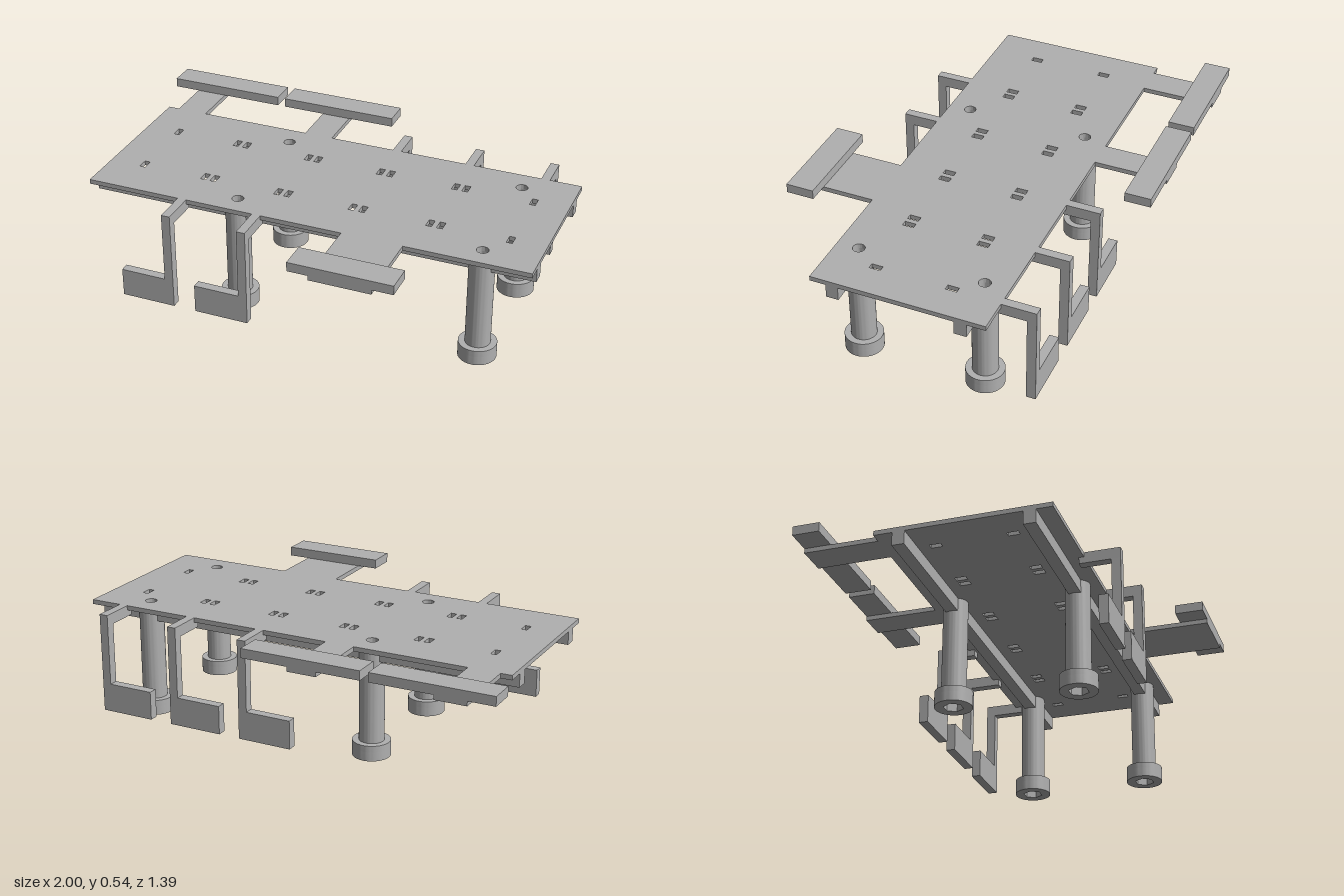
import * as THREE from 'three';
import { toCreasedNormals } from 'three/addons/utils/BufferGeometryUtils.js';

const BOTTOM = 0.478, TOP = 0.498; // faces of the main plate
const BOLT_X = [-0.29, 0.77], BOLT_Z = [0.261, -0.275];

export function createModel() {
  const model = new THREE.Group();
  const grey = new THREE.MeshStandardMaterial({ color: 0xb0b0b0 });
  grey.name = 'grey';

  const add = (name, geometry, parent = model) => {
    const mesh = new THREE.Mesh(geometry, grey);
    mesh.name = name;
    parent.add(mesh);
    return mesh;
  };

  // Box given by its limits on each axis
  const box = (name, x0, x1, y0, y1, z0, z1, parent) =>
    add(name, new THREE.BoxGeometry(x1 - x0, y1 - y0, z1 - z0), parent)
      .position.set((x0 + x1) / 2, (y0 + y1) / 2, (z0 + z1) / 2);

  // Shape drawn in x and -z, raised from y0 to y1
  const raise = (shape, y0, y1) => {
    const g = new THREE.ExtrudeGeometry(shape, { depth: y1 - y0, bevelEnabled: false, curveSegments: 32 });
    g.rotateX(-Math.PI / 2).translate(0, y0, 0);
    return toCreasedNormals(g, 0.6);
  };

  const rect = (x0, x1, z0, z1) => [[x0, -z0], [x0, -z1], [x1, -z1], [x1, -z0]]
    .map(([x, y]) => new THREE.Vector2(x, y));
  const circle = (r, x = 0, z = 0) => new THREE.Path().absarc(x, -z, r, 0, Math.PI * 2, true);
  const disc = (r, hole) => {
    const s = new THREE.Shape().absarc(0, 0, r, 0, Math.PI * 2, false);
    s.holes.push(hole);
    return s;
  };

  // Main plate with rows of slots and bolt holes
  const plate = new THREE.Shape(rect(-0.935, 1, -0.38, 0.355));
  const slots = [-0.783, -0.495, -0.45, -0.157, -0.112, 0.176, 0.222, 0.512, 0.558, 0.85];
  for (const z of [-0.176, 0.146])
    for (const x of slots)
      plate.holes.push(new THREE.Path(rect(x - 0.0125, x + 0.0125, z - 0.024, z + 0.024)));
  for (const x of BOLT_X) for (const z of BOLT_Z) plate.holes.push(circle(0.025, x, z));
  add('plate', raise(plate, BOTTOM, TOP));

  // Rails under the plate, interrupted by the bolt shafts
  for (const z of BOLT_Z) {
    const rail = new THREE.Group();
    rail.name = 'rail';
    model.add(rail);
    const ends = [-0.935, BOLT_X[0] - 0.04, BOLT_X[0] + 0.04, BOLT_X[1] - 0.04, BOLT_X[1] + 0.04, 1];
    for (let i = 0; i < ends.length; i += 2)
      box('railSection', ends[i], ends[i + 1], 0.42, BOTTOM, z - 0.026, z + 0.026, rail);
  }

  // Hollow bolts with hexagonal sockets in their heads
  const hex = new THREE.Path(Array.from({ length: 6 }, (_, i) =>
    new THREE.Vector2(0.043 * Math.cos(i * Math.PI / 3), 0.043 * Math.sin(i * Math.PI / 3))));
  const boltParts = {
    boltSocket: raise(disc(0.08, hex), 0, 0.04),
    boltHead: raise(disc(0.08, circle(0.025)), 0.04, 0.067),
    boltShaft: raise(disc(0.053, circle(0.025)), 0.067, BOTTOM),
  };
  for (const x of BOLT_X) for (const z of BOLT_Z) {
    const bolt = new THREE.Group();
    bolt.name = 'bolt';
    bolt.position.set(x, 0, z);
    for (const [name, g] of Object.entries(boltParts)) add(name, g, bolt);
    model.add(bolt);
  }

  // Tabs reaching out of the plate, each carrying a raised bar
  const tabs = [
    // tab x0, x1, bar x0, x1, side
    [0.208, 0.47, 0.12, 0.56, 1],
    [-0.887, -0.752, -1, -0.483, -1],
    [-0.26, -0.133, -0.448, 0.073, -1],
  ];
  for (const [x0, x1, b0, b1, side] of tabs) {
    if (side > 0) {
      box('tab', x0, x1, BOTTOM, TOP, 0.355, 0.697);
      box('tabBar', b0, b1, TOP, 0.538, 0.577, 0.697);
    } else {
      box('tab', x0, x1, BOTTOM, TOP, -0.697, -0.38);
      box('tabBar', b0, b1, TOP, 0.538, -0.697, -0.583);
    }
  }

  // Hanging arms: outward beam, vertical post and sideways foot
  const arms = [[-0.482, 1], [-0.146, 1], [0.193, -1], [0.525, -1], [0.861, -1]];
  for (const [x, side] of arms) {
    const arm = new THREE.Group();
    arm.name = 'arm';
    model.add(arm);
    const [edge, inner, post, outer] = side > 0 ? [0.355, 0.333, 0.467, 0.506] : [-0.38, -0.352, -0.486, -0.526];
    const span = (a, b) => [Math.min(a, b), Math.max(a, b)];
    box('armRoot', x - 0.038, x, 0.45, BOTTOM, ...span(inner, edge), arm);
    box('armBeam', x - 0.038, x, 0.45, TOP, ...span(edge, outer), arm);
    box('armPost', x - 0.038, x, 0.19, 0.45, ...span(post, outer), arm);
    box('armFoot', x - 0.238, x, 0.066, 0.19, ...span(post, outer), arm);
  }
  return model;
}
